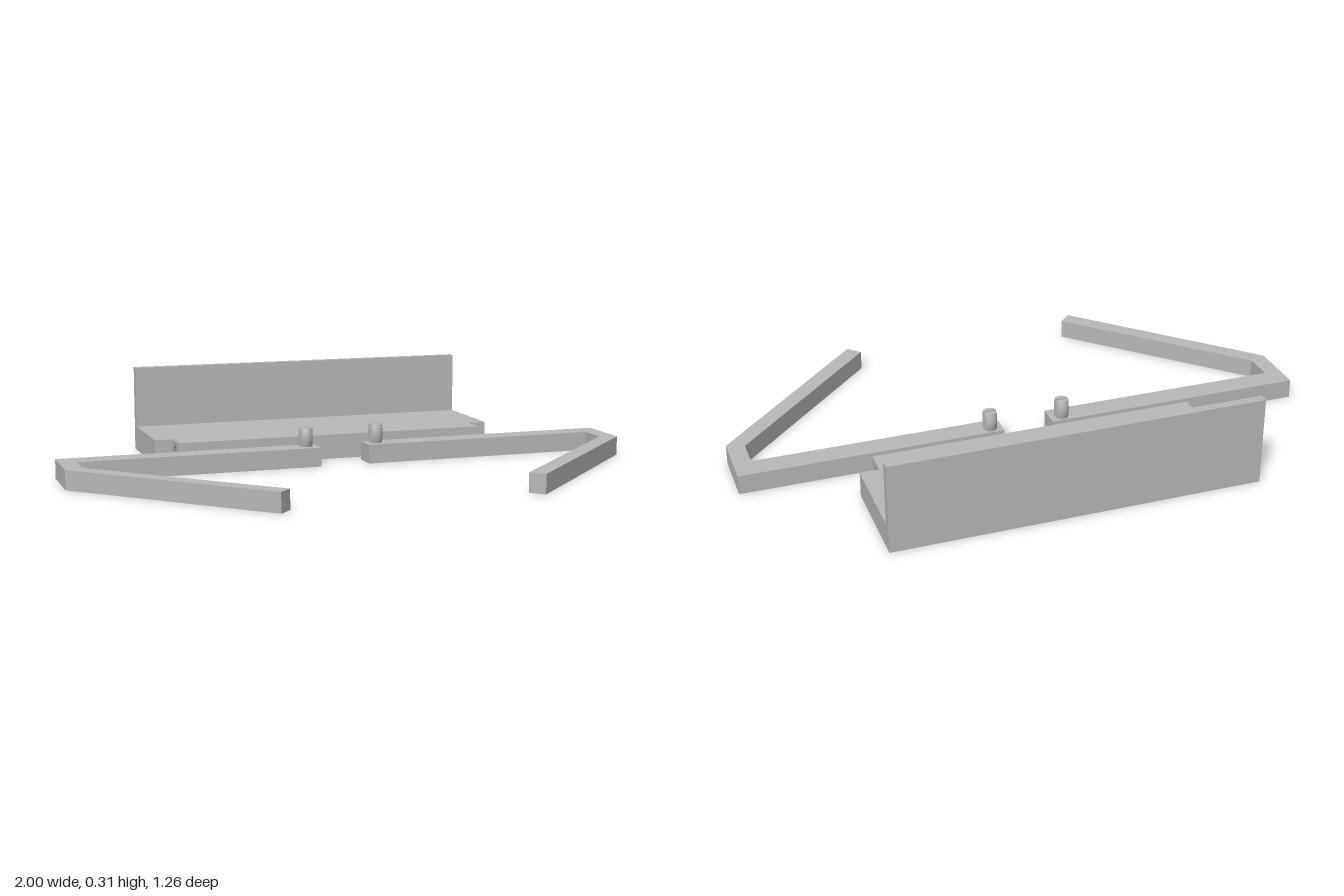
import * as THREE from 'three';

const grey = new THREE.MeshStandardMaterial({ color: 0xb8b8b8 });
grey.name = 'plain grey';
grey.flatShading = true;

function addPart(parent, name, geometry) {
  const mesh = new THREE.Mesh(geometry, grey);
  mesh.name = name;
  parent.add(mesh);
  return mesh;
}

const shapeOf = (points) => new THREE.Shape(points.map(([x, y]) => new THREE.Vector2(x, y)));

// Extrudes a (-z, y) profile along x from x0 to x1
function extrudeX(shape, x0, x1) {
  return new THREE.ExtrudeGeometry(shape, { depth: x1 - x0, bevelEnabled: false })
    .rotateY(Math.PI / 2).translate(x0, 0, 0);
}

// Extrudes an (x, -z) plan upwards from y0
function extrudeY(shape, y0, height, steps = 1) {
  return new THREE.ExtrudeGeometry(shape, { depth: height, steps, bevelEnabled: false })
    .rotateX(-Math.PI / 2).translate(0, y0, 0);
}

// One half of the split pin: a D-shaped post that bulges at mid height
function pinHalf(side) {
  const points = [];
  const r = 0.024, gap = 0.005, start = Math.asin(gap / r);
  for (let i = 0; i <= 8; i++) {
    const a = start + (Math.PI - 2 * start) * i / 8;
    points.push([r * Math.cos(a), side * r * Math.sin(a)]);
  }
  const height = 0.066, y0 = 0.066;
  const geometry = extrudeY(shapeOf(points), y0, height, 6);
  const p = geometry.attributes.position;
  for (let i = 0; i < p.count; i++) {
    const z = p.getZ(i);
    const swell = 0.006 * Math.sin(Math.PI * (p.getY(i) - y0) / height);
    if (Math.abs(z) > gap + 0.001) p.setZ(i, z + Math.sign(z) * swell);
  }
  geometry.computeVertexNormals();
  return geometry;
}

export function createModel() {
  const model = new THREE.Group();
  model.name = 'bracketWithArms';

  // Shelf and upright back plate
  const base = new THREE.Group();
  base.name = 'base';
  model.add(base);
  const profile = shapeOf([[0.287, 0], [0.635, 0], [0.635, 0.305], [0.604, 0.305], [0.604, 0.087], [0.287, 0.087]]);
  addPart(base, 'shelfAndBackPlate', extrudeX(profile, -0.63, 0.63));

  // Narrower front tongue with a blind round socket in each end
  const endShape = shapeOf([[0.2, 0], [0.287, 0], [0.287, 0.087], [0.2, 0.087]]);
  const hole = [];
  for (let i = 0; i < 10; i++) {
    const a = -Math.PI * 2 * i / 10;
    hole.push(new THREE.Vector2(0.253 + 0.027 * Math.cos(a), 0.0435 + 0.027 * Math.sin(a)));
  }
  endShape.holes.push(new THREE.Path(hole));
  const box = new THREE.BoxGeometry(1.01, 0.087, 0.087).translate(0, 0.0435, -0.2435);
  addPart(base, 'tongueMiddle', box);
  addPart(base, 'tongueLeftEnd', extrudeX(endShape, 0.505, 0.565));
  addPart(base, 'tongueRightEnd', extrudeX(endShape, -0.565, -0.505));

  // Mirrored bent arms, each with a split pin near its inner end
  for (const s of [1, -1]) {
    const arm = new THREE.Group();
    arm.name = s > 0 ? 'leftArm' : 'rightArm';
    model.add(arm);
    const plan = [[0.088, 0.145], [1, 0.145], [1, -0.063], [0.441, -0.63], [0.4, -0.588],
      [0.94, -0.042], [0.94, 0.063], [0.088, 0.063]];
    addPart(arm, 'armBar', extrudeY(shapeOf(plan.map(([x, y]) => [s * x, y])), 0, 0.067));
    for (const side of [1, -1]) {
      const half = addPart(arm, side > 0 ? 'pinBackHalf' : 'pinFrontHalf', pinHalf(side));
      half.position.set(s * 0.13, 0, -0.114);
    }
  }
  return model;
}
